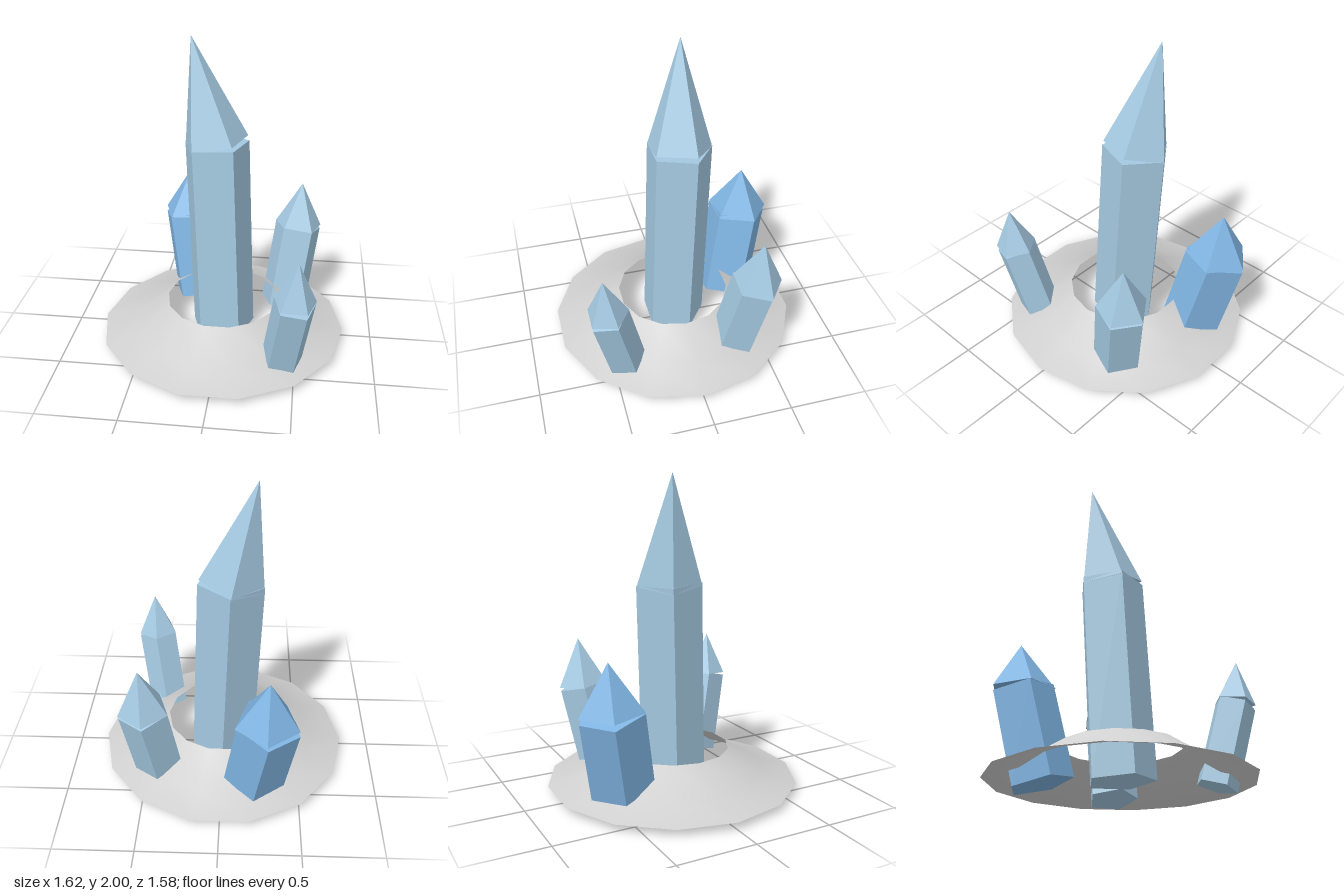
import * as THREE from 'three';

const UP = new THREE.Vector3(0, 1, 0);

// five-sided solid spanning two centre points, one corner pointing to the back
function pentaSolid(name, from, to, bottomRadius, topRadius, material) {
  const a = new THREE.Vector3(...from);
  const b = new THREE.Vector3(...to);
  const axis = b.clone().sub(a);
  const geometry = new THREE.CylinderGeometry(
    topRadius, bottomRadius, axis.length(), 5, 1, false, Math.PI
  ).toNonIndexed();
  geometry.computeVertexNormals();
  const mesh = new THREE.Mesh(geometry, material);
  mesh.name = name;
  mesh.position.copy(a).add(b).multiplyScalar(0.5);
  mesh.quaternion.setFromUnitVectors(UP, axis.normalize());
  return mesh;
}

function crystal({ name, foot, shoulder, tipBase, tip, radius, tipRadius, material }) {
  const group = new THREE.Group();
  group.name = name;
  group.add(
    pentaSolid(name + 'Shaft', foot, shoulder, radius, radius, material),
    pentaSolid(name + 'Tip', tipBase, tip, tipRadius, 0, material)
  );
  return group;
}

export function createModel() {
  const model = new THREE.Group();
  model.name = 'crystalCluster';

  const stone = new THREE.MeshStandardMaterial({ color: 0xd0d0d0, side: THREE.DoubleSide });
  stone.name = 'grey stone';
  const pale = new THREE.MeshStandardMaterial({ color: 0xa5cae2 });
  pale.name = 'pale blue crystal';
  const blue = new THREE.MeshStandardMaterial({ color: 0x80b5e3 });
  blue.name = 'blue crystal';

  // open ring of ground, rising towards the hole
  const profile = [[0.81, 0.05], [0.595, 0.11], [0.37, 0.255]]
    .map(([r, y]) => new THREE.Vector2(r, y));
  const ring = new THREE.Mesh(new THREE.LatheGeometry(profile, 14, Math.PI / 2), stone);
  ring.name = 'groundRing';
  model.add(ring);

  // leaning crystals, each a shaft with a slightly askew tip
  const crystals = [
    {
      name: 'mainCrystal', material: pale, radius: 0.215, tipRadius: 0.215,
      foot: [0, 0.045, 0], shoulder: [-0.05, 1.335, -0.055],
      tipBase: [-0.054, 1.333, -0.055], tip: [-0.205, 2, -0.102],
    },
    {
      name: 'backLargeCrystal', material: blue, radius: 0.204, tipRadius: 0.207,
      foot: [-0.2, 0.045, -0.434], shoulder: [-0.29, 0.625, -0.547],
      tipBase: [-0.283, 0.633, -0.546], tip: [-0.293, 0.937, -0.566],
    },
    {
      name: 'backSmallCrystal', material: pale, radius: 0.163, tipRadius: 0.165,
      foot: [0.403, 0.055, -0.315], shoulder: [0.48, 0.605, -0.42],
      tipBase: [0.481, 0.61, -0.423], tip: [0.5, 0.917, -0.446],
    },
    {
      name: 'frontSmallCrystal', material: pale, radius: 0.133, tipRadius: 0.135,
      foot: [0.414, 0.046, 0.414], shoulder: [0.489, 0.568, 0.534],
      tipBase: [0.489, 0.578, 0.534], tip: [0.505, 0.852, 0.554],
    },
  ];
  crystals.forEach((c) => model.add(crystal(c)));

  return model;
}
